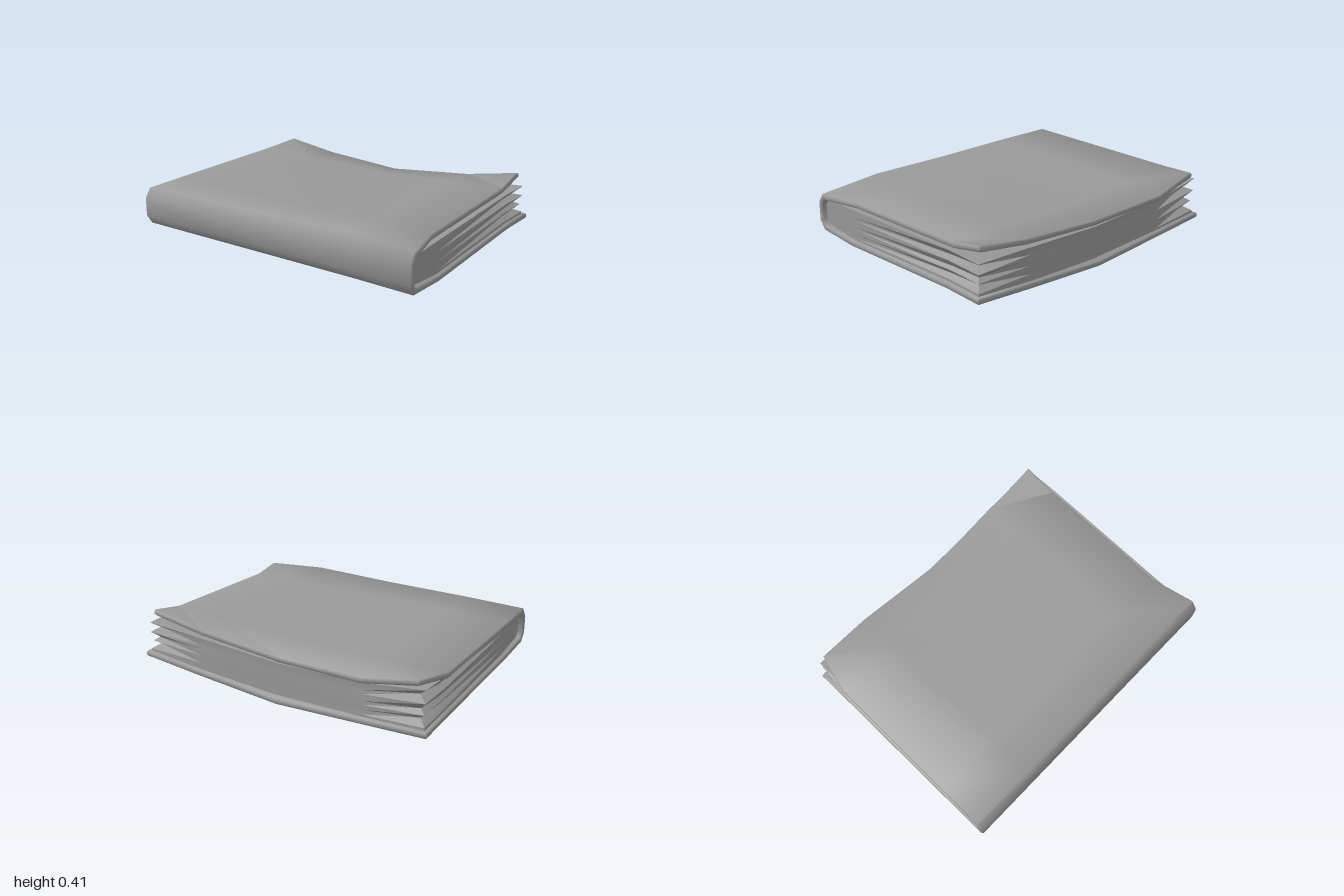
import * as THREE from 'three';
import { toCreasedNormals } from 'three/addons/utils/BufferGeometryUtils.js';

const material = new THREE.MeshStandardMaterial({ color: 0x999999, side: THREE.DoubleSide });

// Heights per x station, listed from the front row to the back row
const rowZ = [1, 0.57, 0, -0.57, -1];
const stationX = [-0.71, -0.42, 0.48, 0.75];
const topY = [
  [0.33, 0.36, 0.345, 0.34, 0.33],
  [0.335, 0.345, 0.335, 0.335, 0.33],
  [0.368, 0.35, 0.32, 0.325, 0.33],
  [0.415, 0.345, 0.285, 0.305, 0.365],
];
const bottomY = [
  [0.085, 0.09, 0.09, 0.09, 0.09],
  [0.065, 0.06, 0.06, 0.06, 0.065],
  [0.105, 0.06, 0.02, 0.03, 0.04],
  [0.1, 0.055, 0, 0.018, 0.032],
];
const topEdgeX = [0.705, 0.705, 0.705, 0.748, 0.725];

// Front and back ends of the cover for each station
const topFront = [0.998, 0.935, 0.935, 0.935], topBack = [-0.998, -0.997, -0.99, -0.925];
const bottomFront = [0.998, 0.992, 0.99, 0.99], bottomBack = [-0.998, -0.994, -0.99, -0.99];

// Bend a subdivided box by a rule on its grid indices
function bentBox(nx, ny, nz, rule, crease) {
  const geometry = new THREE.BoxGeometry(1, 1, 1, nx, ny, nz);
  const p = geometry.attributes.position;
  for (let v = 0; v < p.count; v++) {
    const i = Math.round((p.getX(v) + 0.5) * nx);
    const j = Math.round((p.getY(v) + 0.5) * ny);
    const k = Math.round((p.getZ(v) + 0.5) * nz);
    p.setXYZ(v, ...rule(i, j, k));
  }
  geometry.deleteAttribute('uv');
  return toCreasedNormals(geometry, crease);
}

// Outer line of the cover in one row: bottom edge, round the spine, top edge
function coverLine(row) {
  const rowEnd = (front, back, s) => (row === 0 ? front[s] : row === 4 ? back[s] : rowZ[row]);
  const line = [];
  for (let s = 3; s >= 0; s--) {
    line.push([stationX[s], bottomY[s][row], rowEnd(bottomFront, bottomBack, s)]);
  }
  line.push([-0.75, bottomY[0][row] + 0.06, rowZ[row]], [-0.75, topY[0][row] - 0.06, rowZ[row]]);
  for (let s = 0; s < 4; s++) {
    const x = s === 3 ? topEdgeX[row] : stationX[s];
    line.push([x, topY[s][row], rowEnd(topFront, topBack, s)]);
  }
  return line;
}

// Wrapped cover with constant thickness and a softly rounded rim
function coverGeometry() {
  const lines = rowZ.map((_, row) => coverLine(row));
  const depth = [0.036, 0.027, 0.009, 0];
  return bentBox(9, 3, 4, (i, j, k) => {
    const line = lines[4 - k];
    const here = new THREE.Vector2(line[i][0], line[i][1]);
    const before = i > 0 ? new THREE.Vector2(...line[i - 1]).sub(here).negate().normalize() : null;
    const after = i < 9 ? new THREE.Vector2(...line[i + 1]).sub(here).normalize() : null;
    const d1 = before || after, d2 = after || before;
    const along = d1.clone().add(d2).normalize();
    const offset = depth[j] / along.dot(d1);
    let x = here.x + along.y * offset;
    let y = here.y - along.x * offset;
    let z = line[i][2];
    if (j === 0 || j === 3) {
      const bevel = 0.007;
      if (i === 0 || i === 9) {
        const side = i === 0 ? 1 : -1;
        x += along.x * bevel * side;
        y += along.y * bevel * side;
      }
      if (k === 0) z += bevel;
      if (k === 4) z -= bevel;
    }
    return [x, y, z];
  }, 1.05);
}

// Page block whose edges open into folds towards the loose corners
function pagesGeometry() {
  const levels = [0, 0.08, 0.2, 0.36, 0.45, 0.67, 0.77, 1];
  const folds = [0, 0, 0.05, 0.01, 0.045, 0, 0.06, 0];
  const pageX = [-0.69, -0.42, 0.48, 0.725];
  const pageZ = [0.965, 0.57, 0, -0.57, -0.965];
  const openX = [0, 0, 0.6, 1], openZ = [1, 0.12, 0, 0.12, 1];
  const cornerTop = [0.325, 0.3, 0.248, 0.268, 0.312];
  return bentBox(3, 7, 4, (i, j, k) => {
    const row = 4 - k;
    const low = bottomY[i][row] + (i === 0 ? 0.04 : 0.034);
    const high = i === 3 ? cornerTop[row] : topY[i][row] - (i === 0 ? 0.043 : 0.036);
    const open = openX[i] * openZ[row];
    let x = pageX[i], z = pageZ[row];
    // Rounded back tucked into the spine
    if (i === 0) x -= 0.032 * Math.sin(Math.PI * levels[j]);
    if (i === 3) x -= folds[j] * open + (row === 2 ? 0.02 : 0);
    if (row === 0 || row === 4) z -= Math.sign(z) * folds[j] * open;
    return [x, low + (high - low) * levels[j], z];
  }, 0.5);
}

export function createModel() {
  const book = new THREE.Group();
  book.name = 'book';
  for (const [name, geometry] of [['cover', coverGeometry()], ['pages', pagesGeometry()]]) {
    const mesh = new THREE.Mesh(geometry, material);
    mesh.name = name;
    book.add(mesh);
  }
  return book;
}
